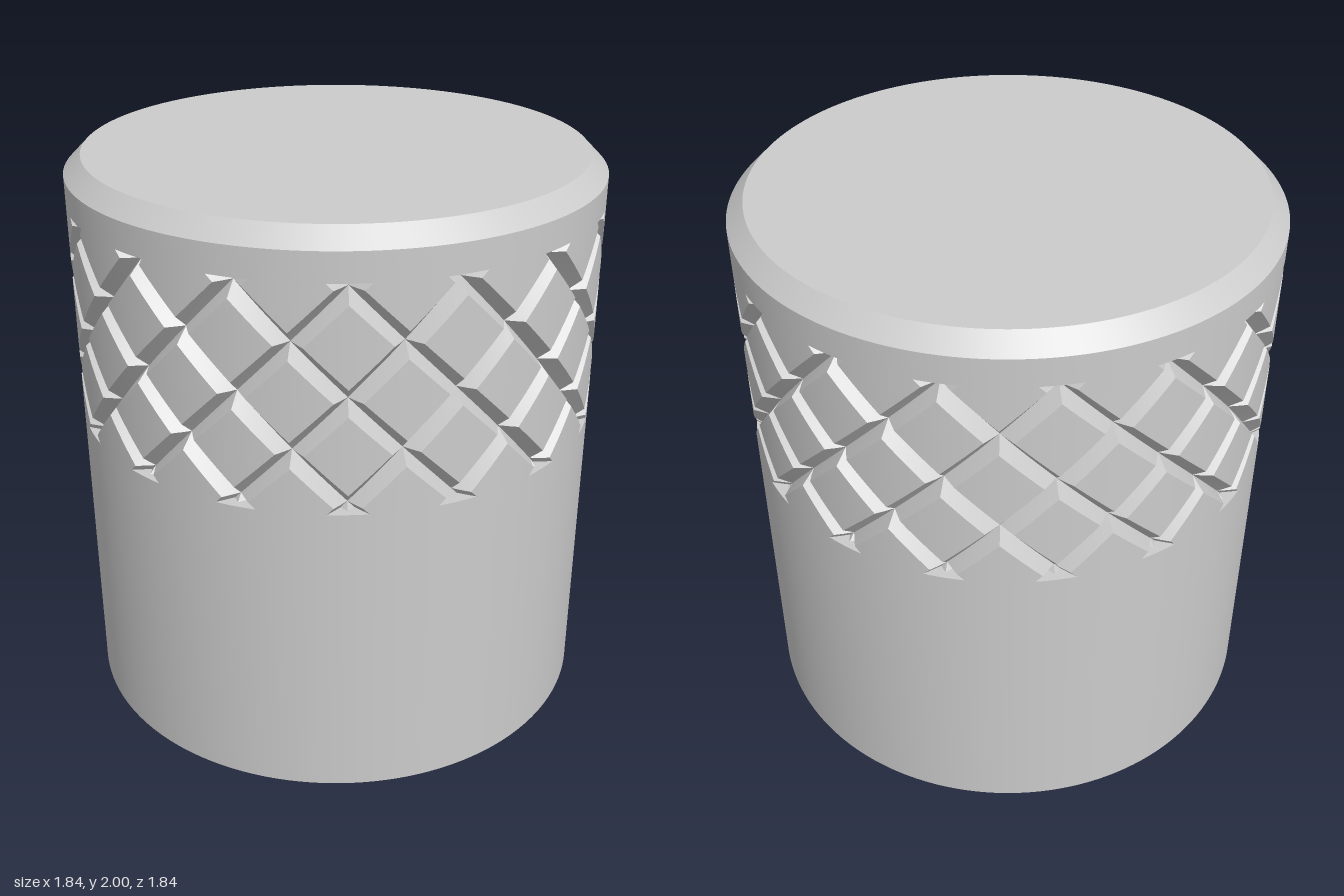
import * as THREE from 'three';
import { toCreasedNormals } from 'three/addons/utils/BufferGeometryUtils.js';

const R = 0.92;            // outer radius
const STARTS = 16;         // grooves in each direction
const N = 16;              // grid steps per groove spacing
const COLS = STARTS * N;
const STEP = 0.36 / N;     // row height, equal to a column's arc length
const HALF = N + 1;        // rows above and below the middle of the knurl
const MID = 1.46;          // height of the knurl's middle
const WIDTH = 2;           // half-width of a groove, in grid steps
const DEPTH = 0.05;

const LOW = MID - HALF * STEP;
const HIGH = MID + HALF * STEP;

// V-groove depth at a grid point, for two crossing families of helices
function grooveDepth(i, j) {
  const distance = (k) => {
    const m = ((k % N) + N) % N;
    return Math.min(m, N - m);
  };
  const d = Math.min(distance(i + j), distance(i - j));
  return DEPTH * Math.max(0, 1 - d / WIDTH);
}

function lathe(points) {
  const profile = points.map(([x, y]) => new THREE.Vector2(x, y));
  return toCreasedNormals(new THREE.LatheGeometry(profile, COLS), 0.4);
}

// Knurled band: a cylindrical grid pushed inwards along the grooves
function knurlGeometry() {
  const positions = [];
  const point = (i, j, r) => {
    const a = (i / COLS) * Math.PI * 2;
    return [r * Math.sin(a), MID + j * STEP, r * Math.cos(a)];
  };
  const cut = (i, j) => point(i, j, R - grooveDepth(i, j));
  const quad = (a, b, c, d, swap) => {
    if (swap) positions.push(...a, ...b, ...d, ...b, ...c, ...d);
    else positions.push(...a, ...b, ...c, ...a, ...c, ...d);
  };
  for (let i = 0; i < COLS; i++) {
    // diagonals alternate so that edges follow the grooves
    for (let j = -HALF; j < HALF; j++) {
      quad(cut(i, j), cut(i + 1, j), cut(i + 1, j + 1), cut(i, j + 1), (i + j) % 2 !== 0);
    }
    // flat walls closing the groove ends
    if (grooveDepth(i, HALF) + grooveDepth(i + 1, HALF) > 0) {
      quad(cut(i, HALF), cut(i + 1, HALF), point(i + 1, HALF, R), point(i, HALF, R));
      quad(point(i, -HALF, R), point(i + 1, -HALF, R), cut(i + 1, -HALF), cut(i, -HALF));
    }
  }
  const geometry = new THREE.BufferGeometry();
  geometry.setAttribute('position', new THREE.Float32BufferAttribute(positions, 3));
  return toCreasedNormals(geometry, 0.4);
}

export function createModel() {
  const group = new THREE.Group();
  group.name = 'knurledKnob';
  const material = new THREE.MeshStandardMaterial({ color: 0xcccccc });
  const add = (name, geometry) => {
    const mesh = new THREE.Mesh(geometry, material);
    mesh.name = name;
    group.add(mesh);
  };

  // Lower body with a stepped blind bore
  add('lowerBody', lathe([
    [0, 1.5], [0.33, 1.5], [0.33, 0.425], [0.47, 0.425],
    [0.47, 0], [R, 0], [R, LOW],
  ]));
  add('knurledBand', knurlGeometry());
  // Chamfered top
  add('topCap', lathe([[R, HIGH], [R, 1.94], [0.86, 2], [0, 2]]));
  return group;
}
